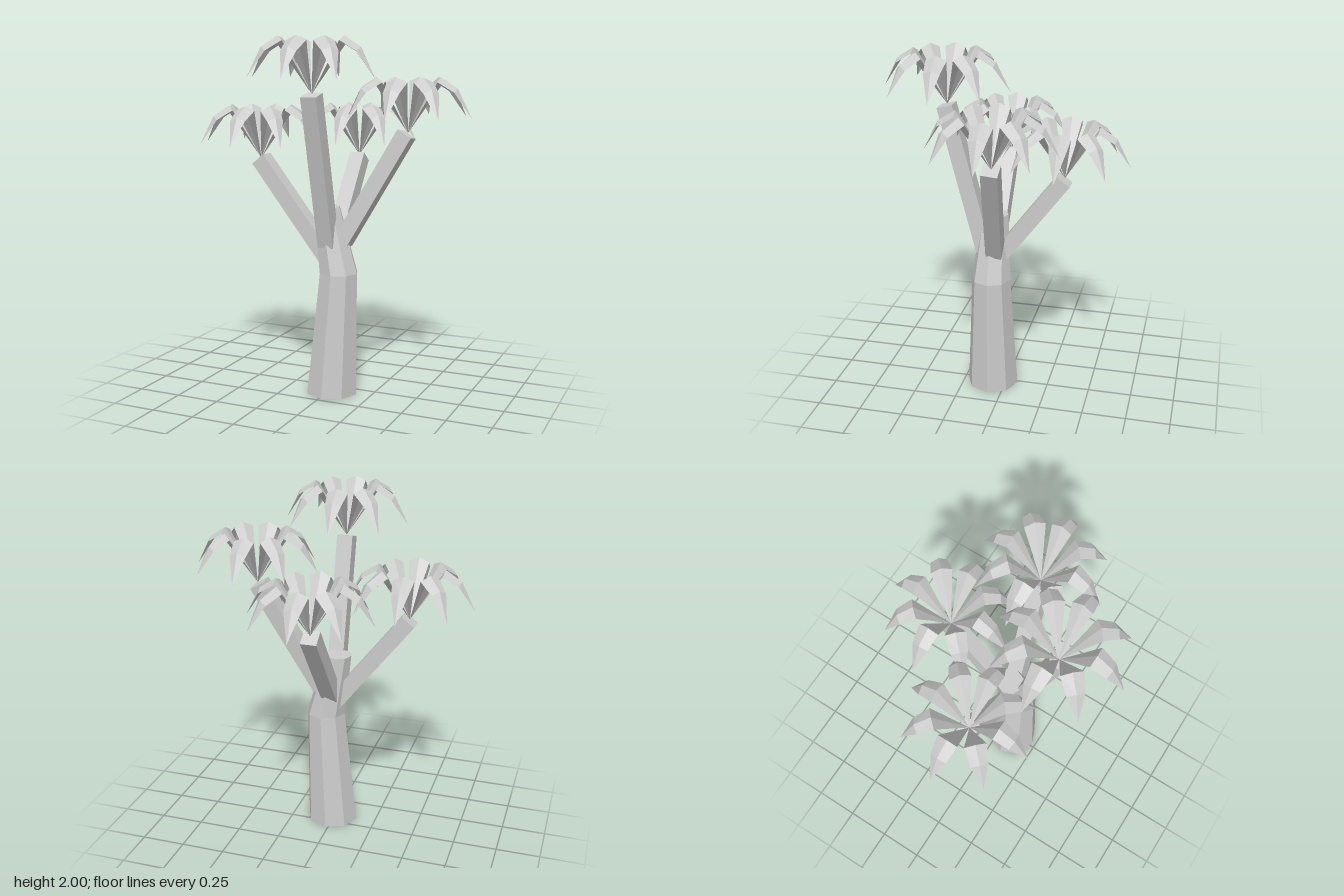
import * as THREE from 'three';

const grey = new THREE.MeshStandardMaterial({ color: 0xcccccc, flatShading: true, side: THREE.DoubleSide });
grey.name = 'pale grey';

function mesh(name, geometry) {
  const m = new THREE.Mesh(geometry, grey);
  m.name = name;
  return m;
}

function surface(points, index) {
  const g = new THREE.BufferGeometry();
  g.setAttribute('position', new THREE.Float32BufferAttribute(points.flat(), 3));
  g.setIndex(index);
  const flat = g.toNonIndexed();
  flat.computeVertexNormals();
  return flat;
}

// Bent eight-sided trunk, lofted through rings of [x, y, z, radius]
function trunkGeometry() {
  const rings = [[0.015, 0, 0.08, 0.15], [0.055, 0.7, 0.077, 0.112], [-0.02, 1.07, 0.07, 0.077]];
  const sides = 8, points = [], index = [];
  for (const [x, y, z, r] of rings) {
    for (let i = 0; i < sides; i++) {
      const a = (i / sides) * Math.PI * 2;
      points.push([x + r * Math.sin(a), y, z + r * Math.cos(a)]);
    }
  }
  for (let k = 0; k < rings.length - 1; k++) {
    for (let i = 0; i < sides; i++) {
      const a = k * sides + i, b = k * sides + (i + 1) % sides;
      index.push(a, b, b + sides, a, b + sides, a + sides);
    }
  }
  const top = (rings.length - 1) * sides;
  for (let i = 1; i < sides - 1; i++) {
    index.push(0, i + 1, i, top, top + i, top + i + 1);
  }
  return surface(points, index);
}

// Square branch between two points
function branch(start, end) {
  const a = new THREE.Vector3(...start), b = new THREE.Vector3(...end);
  const m = mesh('branch', new THREE.BoxGeometry(0.09, a.distanceTo(b), 0.09));
  m.position.copy(a).lerp(b, 0.5);
  m.quaternion.setFromUnitVectors(new THREE.Vector3(0, 1, 0), b.sub(a).normalize());
  return m;
}

// Folded leaf: rises from the crown base, arches over and droops to a point
const leafGeometry = surface(
  [
    [0, 0, 0],
    [-0.057, 0.275, 0.18], [0, 0.3, 0.184], [0.057, 0.275, 0.18],
    [-0.045, 0.222, 0.268], [0, 0.242, 0.275], [0.045, 0.222, 0.268],
    [0, 0.083, 0.355],
  ],
  [0, 1, 2, 0, 2, 3, 1, 4, 5, 1, 5, 2, 2, 5, 6, 2, 6, 3, 4, 7, 5, 5, 7, 6],
);

function crown(x, y, z) {
  const g = new THREE.Group();
  g.name = 'leafCrown';
  for (let i = 0; i < 8; i++) {
    const leaf = mesh('leaf', leafGeometry);
    leaf.rotation.y = (i * Math.PI) / 4;
    g.add(leaf);
  }
  g.position.set(x, y, z);
  return g;
}

export function createModel() {
  const tree = new THREE.Group();
  tree.name = 'tree';
  tree.add(mesh('trunk', trunkGeometry()));

  // Four branches, each topped by a crown: start, end, crown base
  const limbs = [
    [[0.012, 0.86, 0.12], [0.012, 1.695, 0.333], [0.012, 1.7, 0.328]],
    [[0.07, 0.87, 0.05], [0.416, 1.48, -0.015], [0.422, 1.485, -0.02]],
    [[0.012, 0.83, 0.035], [0.012, 1.315, -0.328], [0.012, 1.325, -0.33]],
    [[-0.01, 0.785, 0.075], [-0.427, 1.322, 0.075], [-0.427, 1.325, 0.075]],
  ];
  for (const [start, end, base] of limbs) {
    tree.add(branch(start, end), crown(...base));
  }
  return tree;
}
